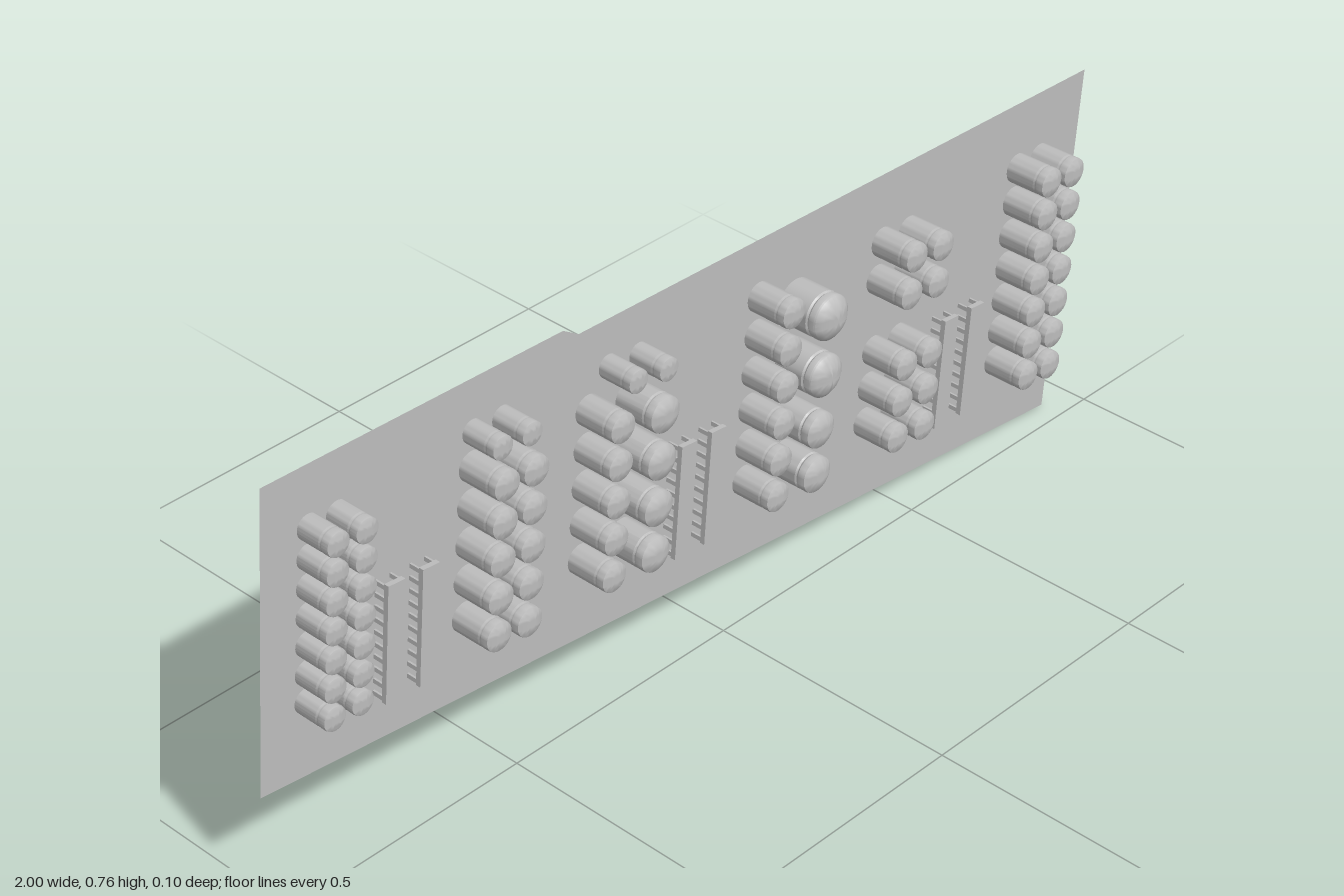
import * as THREE from 'three';
import { toCreasedNormals } from 'three/addons/utils/BufferGeometryUtils.js';

const BOARD_Z = -0.047;

export function createModel() {
  const model = new THREE.Group();
  model.name = 'circuitBoard';
  const grey = new THREE.MeshStandardMaterial({ color: 0xbcbcbc });
  grey.name = 'plain grey';
  const greySheet = new THREE.MeshStandardMaterial({ color: 0xbcbcbc, side: THREE.DoubleSide });
  greySheet.name = 'plain grey sheet';

  // Slanted board, a thin sheet with a small step in its top edge
  const outline = [[-1, 0.2], [0.93, 0], [1, 0.693], [-0.286, 0.725], [-0.32, 0.747], [-0.95, 0.763]];
  const board = new THREE.Mesh(
    new THREE.ShapeGeometry(new THREE.Shape(outline.map(([x, y]) => new THREE.Vector2(x, y)))), greySheet);
  board.name = 'board';
  board.position.z = BOARD_Z;
  model.add(board);

  // Capacitor: can with a pinched groove, rounded rim and domed end
  function capacitorGeometry(r, back, rim) {
    const dome = r * r * 9;
    const pts = [
      [0, back], [r, back], [r, rim - 0.021], [r * 0.94, rim - 0.018], [r * 0.94, rim - 0.017], [r, rim - 0.014],
      [r, rim - 0.003], [r * 0.97, rim], [r * 0.75, rim + dome * 0.45],
      [r * 0.5, rim + dome * 0.77], [r * 0.25, rim + dome * 0.95], [0, rim + dome],
    ].map(([x, y]) => new THREE.Vector2(x, y));
    const geo = new THREE.LatheGeometry(pts, 28);
    geo.rotateX(Math.PI / 2);
    return toCreasedNormals(geo, 0.6);
  }

  // Column of equally spaced capacitors from (x0, y0) to (x1, y1)
  function column(name, n, x0, y0, x1, y1, r, rim, back = -0.0495) {
    const group = new THREE.Group();
    group.name = name;
    const geo = capacitorGeometry(r, back, rim);
    for (let i = 0; i < n; i++) {
      const t = n > 1 ? i / (n - 1) : 0;
      const can = new THREE.Mesh(geo, grey);
      can.name = 'capacitor';
      can.position.set(x0 + (x1 - x0) * t, y0 + (y1 - y0) * t, 0);
      group.add(can);
    }
    model.add(group);
  }

  const flush = BOARD_Z + 0.0005;
  // Bank 1: small cans
  column('smallCansOuter', 7, -0.864, 0.65, -0.896, 0.335, 0.023, 0.022, flush);
  column('smallCansInner', 7, -0.806, 0.645, -0.838, 0.333, 0.023, 0.022, flush);
  // Bank 2
  column('bankTwoTopCans', 2, -0.522, 0.655, -0.458, 0.65, 0.022, 0.022);
  column('bankTwoOuterCans', 5, -0.527, 0.592, -0.558, 0.313, 0.028, 0.034);
  column('bankTwoInnerCans', 5, -0.463, 0.588, -0.49, 0.305, 0.028, 0.034);
  // Bank 3
  column('bankThreeTopCans', 2, -0.221, 0.634, -0.151, 0.624, 0.022, 0.022);
  column('bankThreeOuterCans', 5, -0.27, 0.573, -0.297, 0.29, 0.028, 0.034);
  column('bankThreeInnerCans', 4, -0.173, 0.552, -0.2, 0.286, 0.034, 0.034);
  // Bank 4, with the largest cans
  column('bankFourOuterCans', 6, 0.137, 0.603, 0.1, 0.248, 0.028, 0.034);
  column('largestCan', 1, 0.229, 0.553, 0.229, 0.553, 0.043, 0.035);
  column('secondLargestCan', 1, 0.218, 0.441, 0.218, 0.441, 0.041, 0.035);
  column('bankFourInnerCans', 2, 0.208, 0.334, 0.2, 0.245, 0.035, 0.034);
  // Bank 5, split into two blocks
  column('bankFiveUpperLeftCans', 2, 0.451, 0.573, 0.44, 0.502, 0.028, 0.034, flush);
  column('bankFiveUpperRightCans', 2, 0.521, 0.565, 0.512, 0.494, 0.028, 0.034, flush);
  column('bankFiveLowerLeftCans', 3, 0.433, 0.358, 0.414, 0.215, 0.028, 0.034, flush);
  column('bankFiveLowerRightCans', 3, 0.5, 0.353, 0.486, 0.207, 0.028, 0.034, flush);
  // Bank 6
  column('bankSixInnerCans', 7, 0.817, 0.566, 0.779, 0.173, 0.028, 0.034);
  column('bankSixOuterCans', 7, 0.881, 0.56, 0.843, 0.167, 0.028, 0.034);

  // Chips: long tilted bodies standing on two rows of pins
  const bodyGeo = new THREE.BoxGeometry(0.036, 0.222, 0.01);
  const pinGeo = new THREE.BoxGeometry(0.004, 0.008, 0.031);
  const chips = [[-0.733, 0.374], [-0.66, 0.367], [-0.076, 0.308], [-0.004, 0.302], [0.602, 0.243], [0.674, 0.238]];
  for (const [x, y] of chips) {
    const chip = new THREE.Group();
    chip.name = 'chip';
    const body = new THREE.Mesh(bodyGeo, grey);
    body.name = 'chipBody';
    body.position.z = -0.02;
    chip.add(body);
    for (const side of [-1, 1]) {
      for (let i = 0; i < 10; i++) {
        const pin = new THREE.Mesh(pinGeo, grey);
        pin.name = 'chipPin';
        pin.position.set(side * 0.0155, -0.104 + i * 0.0231, -0.0335);
        chip.add(pin);
      }
    }
    chip.position.set(x, y, 0);
    chip.rotation.z = -0.092;
    model.add(chip);
  }
  return model;
}
